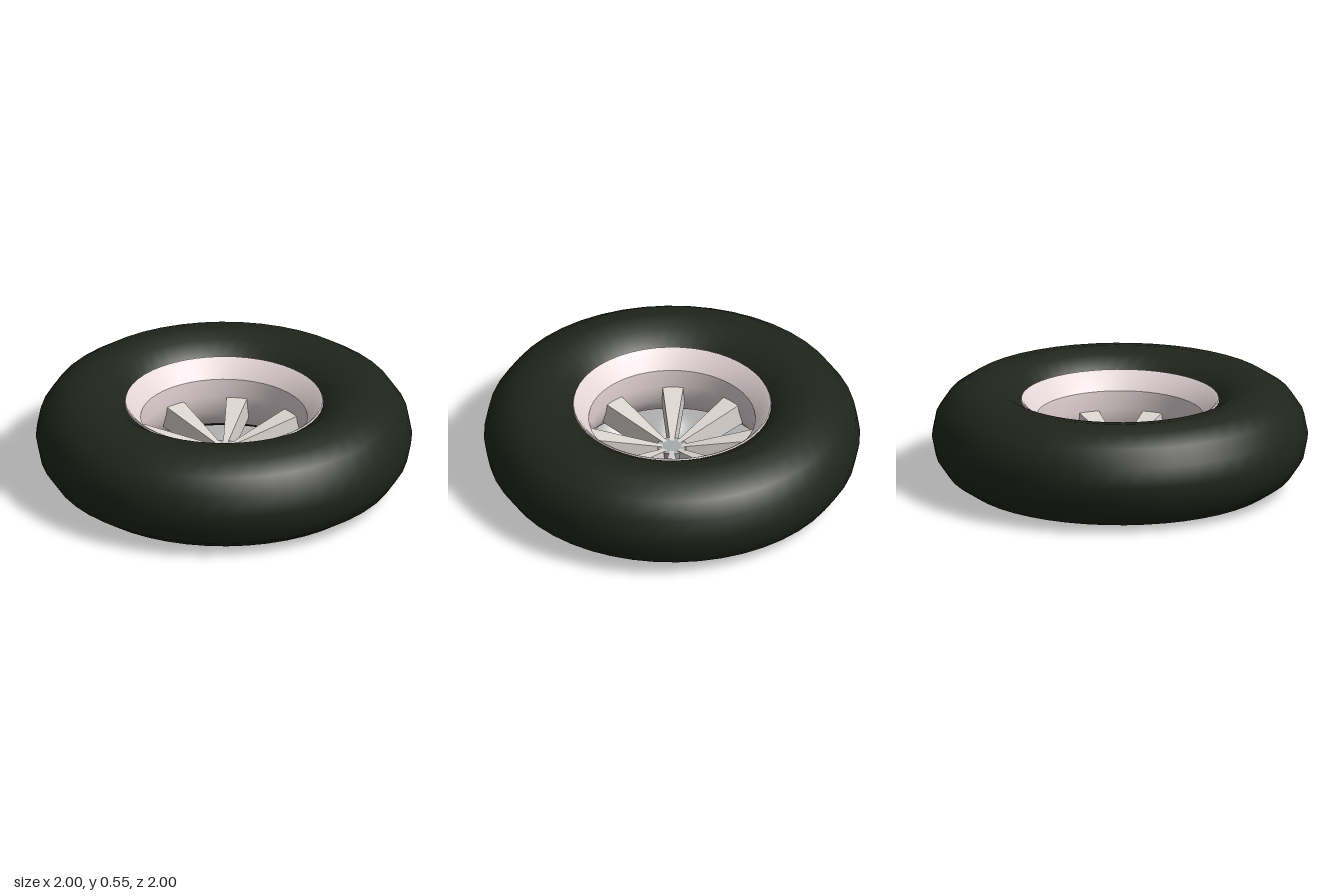
import * as THREE from 'three';
import { toCreasedNormals } from 'three/addons/utils/BufferGeometryUtils.js';

const paint = (color, extra = {}) => {
  const m = new THREE.MeshStandardMaterial({ color, ...extra });
  return m;
};

const MID = 0.275; // half the tyre height
const SPOKES = 8;

function part(name, geometry, material) {
  const mesh = new THREE.Mesh(geometry, material);
  mesh.name = name;
  return mesh;
}

// Box along +x, widening towards the rim and dropping towards the hub
function spokeGeometry() {
  const g = new THREE.BoxGeometry(1, 1, 1);
  const p = g.attributes.position;
  for (let i = 0; i < p.count; i++) {
    const outer = p.getX(i) > 0, top = p.getY(i) > 0, side = Math.sign(p.getZ(i));
    const r = outer ? (top ? 0.445 : 0.465) : 0.05;
    const y = outer ? (top ? 0.275 : 0.15) : (top ? 0.2 : 0.085);
    const half = (outer ? 0.056 : 0.012) + (top ? 0 : 0.004);
    p.setXYZ(i, r, y, side * half);
  }
  g.computeVertexNormals();
  return g;
}

export function createModel() {
  const model = new THREE.Group();
  model.name = 'wheel';

  // Tyre: round ring lying flat
  const tyre = part('tyre', new THREE.TorusGeometry(0.725, MID, 16, 48).rotateX(Math.PI / 2), paint(0x20251b));
  tyre.position.y = MID;
  model.add(tyre);

  // Rim: flared lower barrel, straight band, sloped upper flange and thin lip
  const profile = [
    [0.53, 0.075], [0.491, 0.12], [0.465, 0.17], [0.447, 0.23], [0.44, 0.28],
    [0.443, 0.38], [0.512, 0.468], [0.524, 0.475], [0.53, 0.462], [0.525, 0.44],
  ].map(([x, y]) => new THREE.Vector2(x, y));
  const rimGeometry = toCreasedNormals(new THREE.LatheGeometry(profile, 48), 0.45);
  model.add(part('rim', rimGeometry, paint(0xe2d3d6, { side: THREE.DoubleSide })));

  // Hub: tapered plug
  const hub = part('hub', toCreasedNormals(new THREE.CylinderGeometry(0.08, 0.06, 0.13, 16), 0.6), paint(0xa6abad));
  hub.position.y = 0.135;
  model.add(hub);

  // Spokes
  const spokes = new THREE.Group();
  spokes.name = 'spokes';
  const geometry = spokeGeometry();
  const material = paint(0xddd6d1, { flatShading: true });
  for (let i = 0; i < SPOKES; i++) {
    const spoke = part('spoke', geometry, material);
    spoke.rotation.y = THREE.MathUtils.degToRad(5) + (i * Math.PI * 2) / SPOKES;
    spokes.add(spoke);
  }
  model.add(spokes);

  return model;
}
